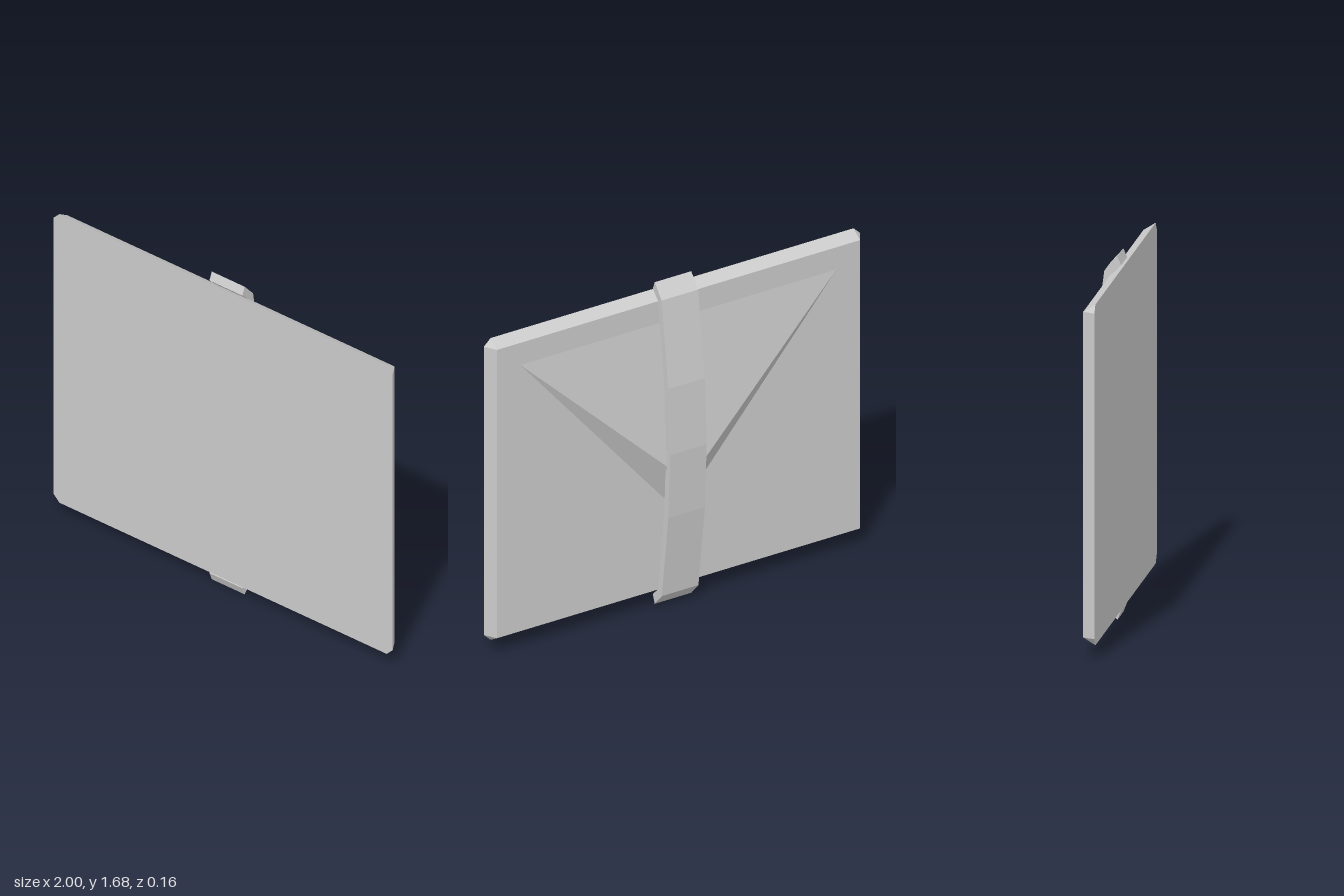
import * as THREE from 'three';
import { ConvexGeometry } from 'three/addons/geometries/ConvexGeometry.js';

const material = new THREE.MeshStandardMaterial({ color: 0xcccccc, flatShading: true });

function addPart(group, name, geometry) {
  const mesh = new THREE.Mesh(geometry, material);
  mesh.name = name;
  group.add(mesh);
}

// flat-sided solid spanned by points, each also mirrored across x = 0
function mirroredHull(points) {
  return new ConvexGeometry(points.flatMap(([x, y, z]) => x === 0
    ? [new THREE.Vector3(0, y, z)]
    : [new THREE.Vector3(x, y, z), new THREE.Vector3(-x, y, z)]));
}

export function createModel() {
  const group = new THREE.Group();
  group.name = 'strappedPanel';

  // panel: wide front with clipped corners, tapering to a smaller rectangular back
  const frontZ = 0.08, backZ = 0.024;
  addPart(group, 'panel', mirroredHull([
    [1, 1.596, frontZ], [0.965, 1.631, frontZ],
    [1, 0.09, frontZ], [0.965, 0.055, frontZ],
    [0.965, 1.596, backZ], [0.965, 0.09, backZ],
  ]));

  // raised triangular flap on the back
  addPart(group, 'flap', mirroredHull([
    [0.84, 1.48, backZ], [0, 0.465, backZ], [0, 0.665, -0.066],
  ]));

  // bowed strap behind the panel, hooked over its top and bottom edges: [z, y]
  const outer = [[0.055, 1.68], [-0.005, 1.613], [-0.064, 1.18], [-0.08, 0.842],
    [-0.064, 0.505], [-0.008, 0.071], [0.055, 0]];
  const inner = [[0.072, 0.043], [0.024, 0.093], [-0.028, 0.51], [-0.043, 0.842],
    [-0.028, 1.175], [0.025, 1.594], [0.072, 1.64]];
  const profile = new THREE.Shape([...outer, ...inner].map(([z, y]) => new THREE.Vector2(-z, y)));
  const width = 0.194;
  const strap = new THREE.ExtrudeGeometry(profile, { depth: width, bevelEnabled: false });
  strap.rotateY(Math.PI / 2).translate(0.01 - width / 2, 0, 0);
  addPart(group, 'strap', strap);

  return group;
}
